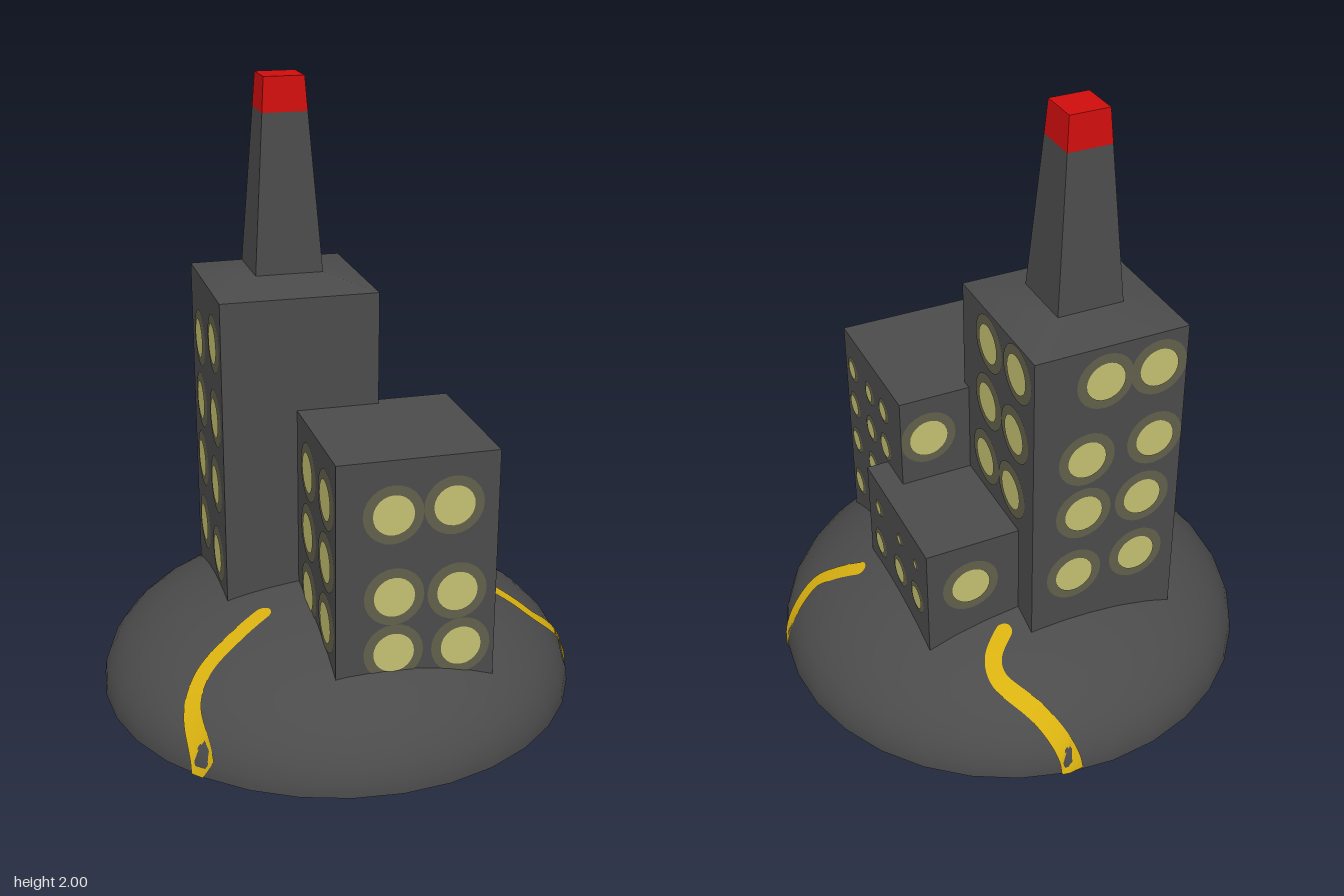
import * as THREE from 'three';

const mat = (name, color) => {
  const m = new THREE.MeshStandardMaterial({ color });
  m.name = name;
  return m;
};

export function createModel() {
  const model = new THREE.Group();
  model.name = 'cityDome';
  const concrete = mat('concrete grey', 0x4b4b4b);
  const shell = mat('dome grey', 0x4b4b4b);
  shell.side = THREE.DoubleSide;
  const glow = mat('window yellow', 0xc5c071);
  const halo = mat('window halo', 0x62604b);
  const gold = mat('stripe gold', 0xd8b010);
  gold.side = THREE.DoubleSide;
  const red = mat('beacon red', 0xd00e0e);

  const add = (parent, name, geo, material, x = 0, y = 0, z = 0) => {
    const mesh = new THREE.Mesh(geo, material);
    mesh.name = name;
    mesh.position.set(x, y, z);
    parent.add(mesh);
    return mesh;
  };

  // Open half-ellipsoid dome
  const R = 0.73, H = 0.35, BASE = 0.163;
  const dome = new THREE.SphereGeometry(1, 32, 14, 0, Math.PI * 2, 0, Math.PI / 2);
  dome.scale(R, H, R);
  add(model, 'dome', dome, shell, 0, BASE, 0);

  // Ribbon that follows the dome surface along a path of [x, z] points
  function ribbon(path, scale) {
    const curve = new THREE.CatmullRomCurve3(path.map(([x, z]) => new THREE.Vector3(x, 0, z)));
    const n = 90, pos = [], idx = [];
    for (let i = 0; i <= n; i++) {
      const t = i / n, p = curve.getPointAt(t), d = curve.getTangentAt(t);
      // rounded inner end
      const end = THREE.MathUtils.clamp((t - 0.94) / 0.06, 0, 0.98);
      const w = 0.025 * Math.sqrt(1 - end * end);
      for (const s of [-1, 1]) {
        let x = p.x - d.z * w * s, z = p.z + d.x * w * s;
        const r = Math.hypot(x, z), k = r > R ? R / r : 1;
        x *= k;
        z *= k;
        const y = H * Math.sqrt(Math.max(0, 1 - (x * x + z * z) / (R * R)));
        pos.push(x * scale, BASE + y * scale, z * scale);
      }
      if (i < n) idx.push(2 * i, 2 * i + 1, 2 * i + 2, 2 * i + 1, 2 * i + 3, 2 * i + 2);
    }
    const g = new THREE.BufferGeometry();
    g.setAttribute('position', new THREE.Float32BufferAttribute(pos, 3));
    g.setIndex(idx);
    g.computeVertexNormals();
    return g;
  }
  const stripes = [
    [[0.12, -0.735], [0.19, -0.61], [0.26, -0.49], [0.25, -0.43], [0.17, -0.355]],
    [[-0.515, 0.53], [-0.525, 0.4], [-0.48, 0.32], [-0.37, 0.245], [-0.25, 0.17]],
    [[0.735, 0.14], [0.65, 0.175], [0.59, 0.185], [0.54, 0.155], [0.455, 0.09]],
  ];
  for (const path of stripes) {
    add(model, 'domeStripeOuter', ribbon(path, 1.004), gold);
    add(model, 'domeStripeInner', ribbon(path, 0.988), gold);
  }

  // Square buildings, all 0.47 wide
  const W = 0.47;
  function building(name, x, z, y0, y1) {
    const g = new THREE.Group();
    g.name = name;
    g.position.set(x, 0, z);
    model.add(g);
    add(g, name + 'Walls', new THREE.BoxGeometry(W, y1 - y0, W), concrete, 0, (y0 + y1) / 2, 0);
    return g;
  }
  const tower = building('tallTower', -0.12, -0.173, 0.18, 1.4);
  const block = building('middleBlock', 0.102, 0.265, 0.3, 1.06);
  const low = building('lowBlock', 0.17, -0.08, 0, 0.77);

  // Round lit windows: list of [horizontal world position, y, radius, halo radius]
  const turns = { front: 0, right: Math.PI / 2, back: Math.PI, left: -Math.PI / 2 };
  function windows(b, side, list) {
    const a = turns[side];
    for (const [u, y, r = 0.06, h = 0.088] of list) {
      for (const [name, rad, out, m] of [['windowHalo', h, 0.002, halo], ['window', r, 0.005, glow]]) {
        const disc = add(b, name, new THREE.CircleGeometry(rad, 24), m);
        const d = W / 2 + out;
        if (side === 'front' || side === 'back') disc.position.set(u - b.position.x, y, d * Math.cos(a));
        else disc.position.set(d * Math.sin(a), y, u - b.position.z);
        disc.rotation.y = a;
      }
    }
  }
  windows(tower, 'right', [[-0.12, 1.3], [-0.305, 1.31], [-0.115, 1.1], [-0.29, 1.1], [-0.095, 0.89], [-0.27, 0.89]]);
  windows(tower, 'back', [
    [-0.1, 1.29], [-0.265, 1.29], [-0.05, 1.04], [-0.265, 1.05],
    [-0.045, 0.85], [-0.235, 0.85], [-0.02, 0.63], [-0.225, 0.64],
  ]);
  windows(tower, 'left', [
    [-0.27, 1.2], [-0.045, 1.25], [-0.27, 1.0], [-0.045, 1.02],
    [-0.28, 0.8], [-0.06, 0.8], [-0.28, 0.58], [-0.06, 0.57],
  ]);
  windows(block, 'front', [[0.03, 0.9], [0.205, 0.91], [0.035, 0.65], [0.22, 0.645], [0.035, 0.475], [0.235, 0.47]]);
  windows(block, 'left', [[0.4, 0.92], [0.2, 0.92], [0.4, 0.73], [0.2, 0.73], [0.4, 0.54], [0.2, 0.54]]);
  windows(block, 'back', [[0.25, 0.92]]);
  windows(block, 'right', [
    [0.43, 0.945, 0.03, 0.042], [0.285, 0.945, 0.027, 0.04], [0.165, 0.955, 0.03, 0.04],
    [0.43, 0.81, 0.034, 0.045], [0.285, 0.81, 0.032, 0.045], [0.16, 0.825, 0.035, 0.045],
    [0.43, 0.67, 0.034, 0.045], [0.285, 0.665, 0.036, 0.048],
    [0.43, 0.5, 0.036, 0.048], [0.28, 0.5, 0.036, 0.048],
  ]);
  windows(low, 'right', [
    [0.06, 0.68, 0.02, 0.028], [-0.11, 0.685, 0.015, 0.02], [-0.235, 0.685, 0.013, 0.018],
    [0.063, 0.54, 0.034, 0.048], [-0.1, 0.555, 0.038, 0.052], [-0.235, 0.56, 0.036, 0.05],
  ]);
  windows(low, 'back', [[0.27, 0.62]]);

  // Square frustums from y0 to y1 for roof, spire and beacon
  function frustum(name, half0, half1, y0, y1, material, smooth) {
    let g = new THREE.CylinderGeometry(half1 * Math.SQRT2, half0 * Math.SQRT2, y1 - y0, 4);
    g.rotateY(Math.PI / 4);
    if (!smooth) {
      g = g.toNonIndexed();
      g.computeVertexNormals();
    }
    add(tower, name, g, material, 0, (y0 + y1) / 2, 0);
  }
  frustum('towerRoof', W / 2, 0.1, 1.4, 1.437, concrete, true);
  frustum('spire', 0.101, 0.067, 1.435, 1.9, concrete);
  frustum('beacon', 0.067, 0.06, 1.9, 2, red);

  return model;
}
